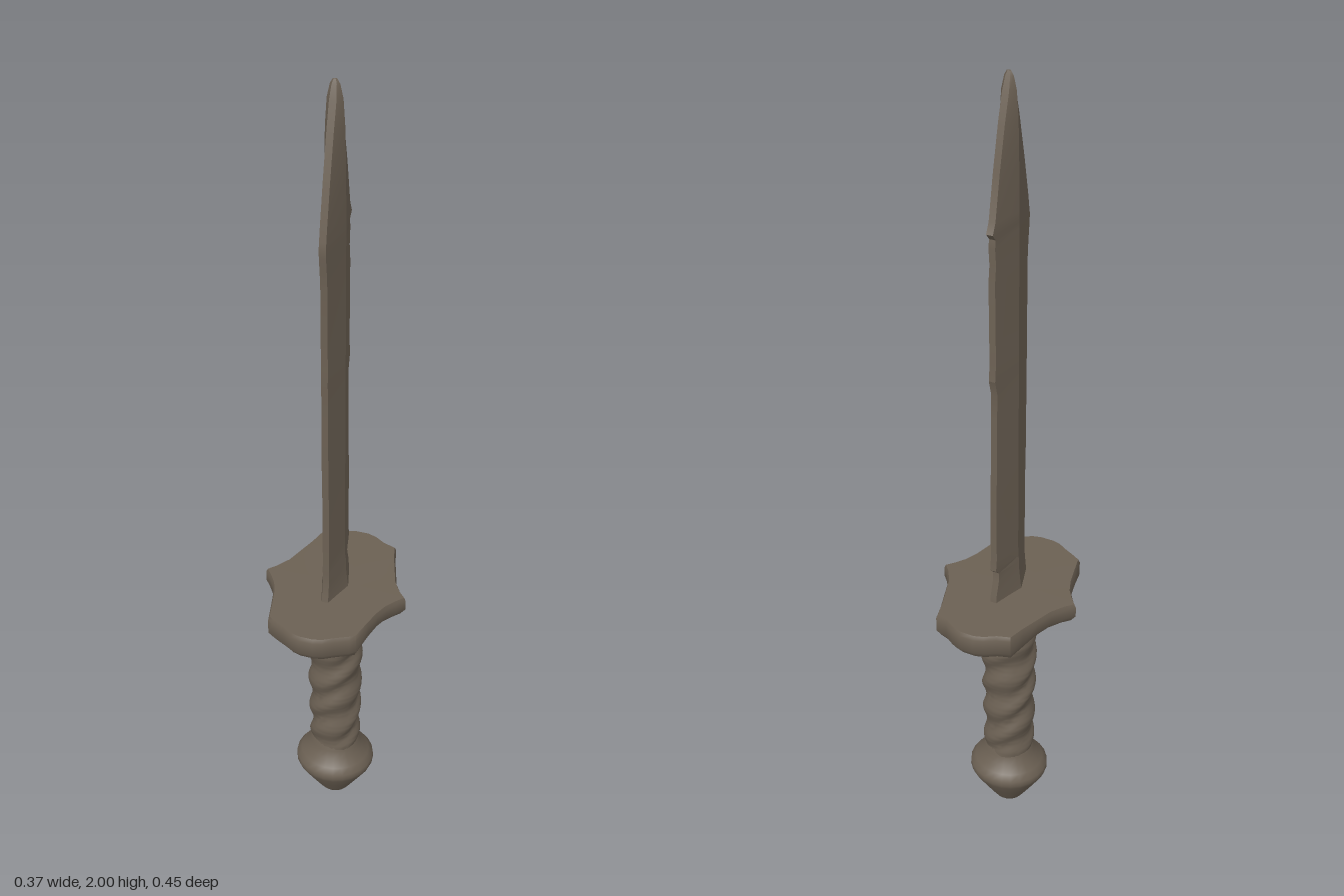
import * as THREE from 'three';
import { toCreasedNormals } from 'three/addons/utils/BufferGeometryUtils.js';

const steel = new THREE.MeshStandardMaterial({ color: 0x6b6053 });
steel.name = 'weathered steel';
const gold = new THREE.MeshStandardMaterial({ color: 0xae7a06 });
gold.name = 'gold';

// Skins a stack of rings (bottom to top, each running from +x towards +z) and caps both ends
function loft(rings, crease) {
  const n = rings[0].length, pos = [], idx = [];
  rings.forEach(r => r.forEach(p => pos.push(...p)));
  for (let i = 0; i < rings.length - 1; i++) {
    for (let j = 0; j < n; j++) {
      const a = i * n + j, b = i * n + (j + 1) % n;
      idx.push(a, a + n, b, b, a + n, b + n);
    }
  }
  [0, rings.length - 1].forEach((k, end) => {
    const c = pos.length / 3;
    const y = rings[k].reduce((s, p) => s + p[1], 0) / n;
    pos.push(0, y, 0);
    for (let j = 0; j < n; j++) {
      const a = k * n + j, b = k * n + (j + 1) % n;
      if (end) idx.push(c, b, a); else idx.push(c, a, b);
    }
  });
  const g = new THREE.BufferGeometry();
  g.setAttribute('position', new THREE.Float32BufferAttribute(pos, 3));
  g.setIndex(idx);
  return toCreasedNormals(g, crease);
}

function part(group, name, geometry, material) {
  const mesh = new THREE.Mesh(geometry, material);
  mesh.name = name;
  group.add(mesh);
}

const circle = (n, y, radius) => Array.from({ length: n }, (_, j) => {
  const a = j / n * Math.PI * 2, r = radius(a);
  return [Math.cos(a) * r, y, Math.sin(a) * r];
});

export function createModel() {
  const sword = new THREE.Group();
  sword.name = 'sword';

  // Blade: ridged section with chipped edges; height, half thickness, front edge, back edge
  const blade = [
    [0.69, 0.036, 0.083, -0.085], [0.72, 0.032, 0.076, -0.083],
    [0.76, 0.028, 0.070, -0.070], [0.785, 0.028, 0.070, -0.068],
    [0.80, 0.026, 0.070, -0.084], [0.83, 0.025, 0.069, -0.080],
    [1.00, 0.025, 0.070, -0.080], [1.10, 0.025, 0.073, -0.076],
    [1.22, 0.025, 0.073, -0.075], [1.28, 0.025, 0.072, -0.072],
    [1.32, 0.025, 0.075, -0.083], [1.36, 0.025, 0.074, -0.079],
    [1.56, 0.025, 0.075, -0.081], [1.60, 0.025, 0.078, -0.076],
    [1.64, 0.025, 0.083, -0.080], [1.66, 0.025, 0.084, -0.077],
    [1.675, 0.025, 0.081, -0.090], [1.70, 0.025, 0.077, -0.078],
    [1.80, 0.024, 0.056, -0.058], [1.90, 0.022, 0.032, -0.034],
    [1.96, 0.018, 0.015, -0.016], [1.99, 0.011, 0.006, -0.006],
    [2.00, 0.005, 0.002, -0.002],
  ].map(([y, t, f, b]) => {
    const e = Math.min(0.008, t * 0.5);
    return [[t, y, 0], [e, y, f], [-e, y, f], [-t, y, 0], [-e, y, b], [e, y, b]];
  });
  part(sword, 'blade', loft(blade, 0.35), steel);

  // Guard: scalloped plate, mirrored in x, with drooping ends
  const half = [
    [0.183, 0], [0.165, 0.022], [0.148, 0.047], [0.135, 0.08], [0.125, 0.12],
    [0.112, 0.176], [0.098, 0.185], [0.065, 0.202], [0.040, 0.217], [0.018, 0.223],
  ];
  const back = [
    [0.018, -0.225], [0.042, -0.217], [0.068, -0.200], [0.101, -0.189],
    [0.112, -0.147], [0.128, -0.10], [0.143, -0.055], [0.165, -0.020],
  ];
  const flip = list => list.slice().reverse().map(([x, z]) => [-x, z]);
  const outline = [...half, ...flip(half), ...flip(back), ...back];
  const guard = [
    [0.3, 0.656, 0], [0.65, 0.656, 0], [0.82, 0.652, 0.017], [0.93, 0.652, 0.017],
    [1, 0.668, 0.012], [1, 0.694, 0], [0.975, 0.704, 0], [0.5, 0.705, 0],
  ].map(([s, y, droop]) => outline.map(([x, z]) =>
    [x * s, y - droop * THREE.MathUtils.smoothstep(Math.abs(z), 0.09, 0.18), z * s]));
  part(sword, 'guard', loft(guard, 0.8), steel);

  // Collar under the guard
  const collar = [[0, 0.60], [0.070, 0.60], [0.075, 0.61], [0.074, 0.63], [0.080, 0.645], [0.080, 0.66], [0, 0.66]];
  part(sword, 'collar', toCreasedNormals(
    new THREE.LatheGeometry(collar.map(p => new THREE.Vector2(...p)), 32), 0.7), gold);

  // Grip: spiral wrapping as a twisted ripple in the radius
  const grip = [];
  for (let i = 0; i <= 70; i++) {
    const y = 0.15 + i / 70 * 0.46;
    const fade = THREE.MathUtils.smoothstep(y, 0.16, 0.22) * (1 - THREE.MathUtils.smoothstep(y, 0.54, 0.6));
    const base = 0.061 + 0.007 * (y - 0.15) / 0.46;
    grip.push(circle(36, y, a => {
      const wave = Math.sin(2 * a + y * 70 + 0.5 * Math.sin(a * 3 + y * 21));
      return base + 0.005 * fade * wave;
    }));
  }
  part(sword, 'grip', loft(grip, 1.2), steel);

  // Pommel: rounded double cone
  const pommel = [
    [0.000, 0.026], [0.006, 0.038], [0.020, 0.048], [0.060, 0.074], [0.098, 0.098],
    [0.110, 0.103], [0.124, 0.102], [0.140, 0.090], [0.160, 0.074], [0.180, 0.066], [0.205, 0.058],
  ].map(([y, r]) => circle(24, y, a => r * (0.975 + 0.025 * Math.cos(2 * a))));
  part(sword, 'pommel', loft(pommel, 0.7), steel);

  return sword;
}
